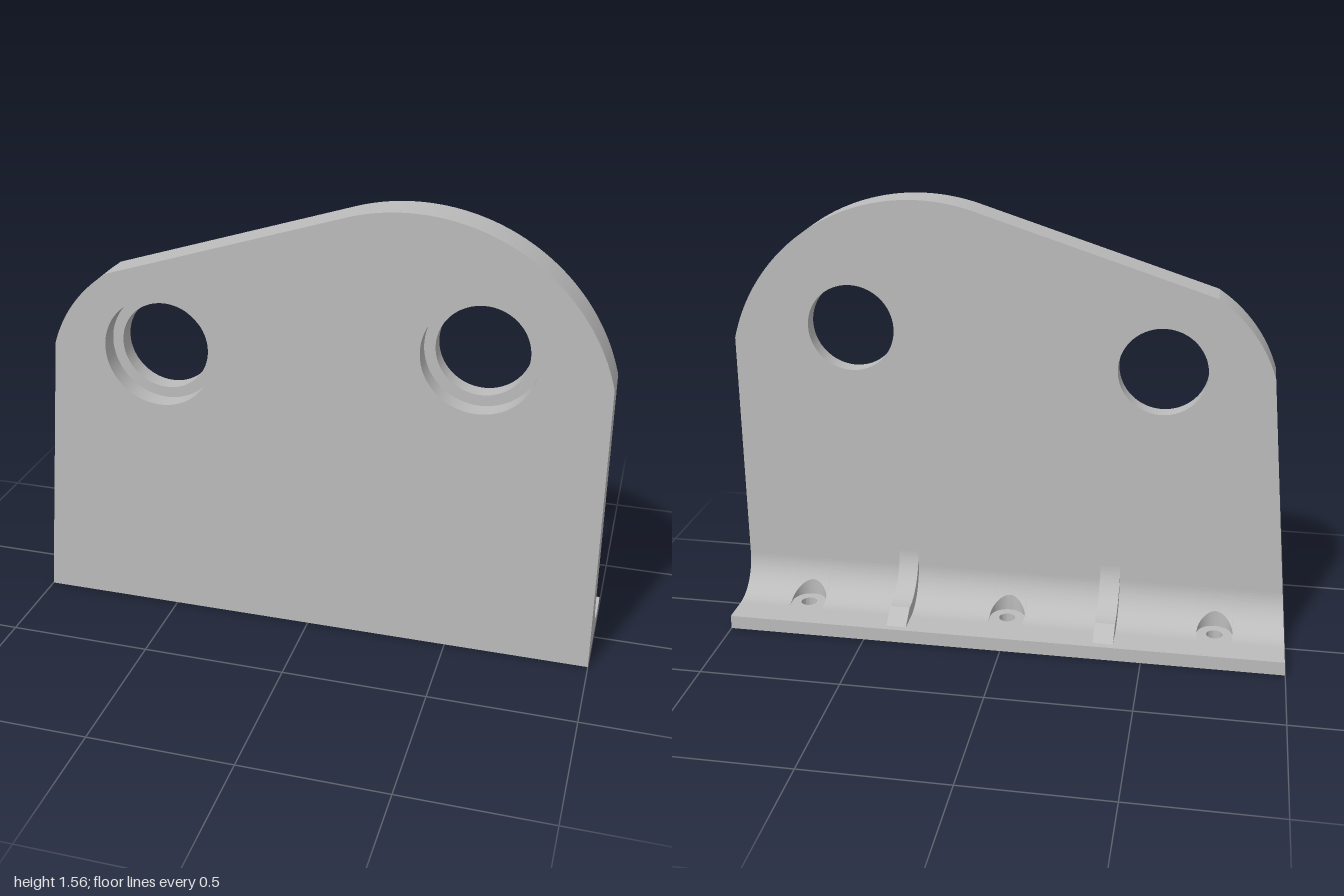
import * as THREE from 'three';
import { toCreasedNormals } from 'three/addons/utils/BufferGeometryUtils.js';

const BACK = 0.058;          // rear face of the upright plate
const FRONT = 0.188;
const FOOT = 0.05;           // foot thickness
const FILLET = 0.14;         // fillet radius
const POCKET = { r: 0.063, z: -0.03, hole: 0.029, xs: [-0.75, 0, 0.75] };

export function createModel() {
  const group = new THREE.Group();
  const metal = new THREE.MeshStandardMaterial({ color: 0xbcbcbc });
  metal.name = 'grey metal';

  function add(name, geometry) {
    const mesh = new THREE.Mesh(toCreasedNormals(geometry, 0.5), metal);
    mesh.name = name;
    group.add(mesh);
    return mesh;
  }

  function circle(x, y, r) {
    return new THREE.Path().absarc(x, y, r, 0, Math.PI * 2, true);
  }

  // The -x end follows the slanted side of the plate
  function slantEnd(geometry) {
    const p = geometry.attributes.position;
    for (let i = 0; i < p.count; i++) {
      if (p.getX(i) < -0.999) p.setX(i, -1 + 0.096 * p.getY(i));
    }
    return geometry;
  }

  // Upright plate in two layers: wide counterbores in front, narrower bores behind
  function plateLayer(name, z0, z1, r) {
    const s = new THREE.Shape();
    s.moveTo(-1, 0);
    s.lineTo(1, 0);
    s.lineTo(1, 1.04);
    s.absarc(0.335, 0.871, 0.686, Math.atan2(0.169, 0.665), Math.atan2(0.659, -0.195), false);
    s.lineTo(-0.7, 1.261);
    s.absarc(-0.428, 0.84, 0.5, Math.atan2(0.421, -0.272), Math.atan2(0.15, -0.477), false);
    s.closePath();
    s.holes.push(circle(-0.525, 0.994, r), circle(0.572, 1.097, r));
    const g = new THREE.ExtrudeGeometry(s, { depth: z1 - z0, bevelEnabled: false, curveSegments: 48 });
    add(name, g.translate(0, 0, z0));
  }
  plateLayer('plateFront', 0.12, FRONT, 0.193);
  plateLayer('plateBack', BACK, 0.12, 0.155);

  // Foot with screw holes
  const foot = new THREE.Shape();
  foot.moveTo(-1, -BACK);
  foot.lineTo(1, -BACK);
  foot.lineTo(1, FRONT);
  foot.lineTo(-1, FRONT);
  foot.closePath();
  for (const x of POCKET.xs) foot.holes.push(circle(x, -POCKET.z, POCKET.hole));
  const footGeometry = new THREE.ExtrudeGeometry(foot, { depth: FOOT, bevelEnabled: false, curveSegments: 24 });
  add('foot', slantEnd(footGeometry.rotateX(-Math.PI / 2)));

  // Profile drawn as (-z, y) and swept along x
  function sweep(name, shape, x0, x1) {
    const g = new THREE.ExtrudeGeometry(shape, { depth: x1 - x0, bevelEnabled: false, curveSegments: 20 });
    g.rotateY(Math.PI / 2).translate(x0, 0, 0);
    add(name, slantEnd(g));
  }

  // Fillet pieces between the screw pockets
  const cz = FILLET - BACK, cy = FOOT + FILLET;
  const fillet = new THREE.Shape();
  fillet.moveTo(-BACK, FOOT);
  fillet.lineTo(cz, FOOT);
  fillet.absarc(cz, cy, FILLET, -Math.PI / 2, -Math.PI, true);
  fillet.closePath();
  let start = -1;
  for (const x of [...POCKET.xs, 1 + POCKET.r]) {
    sweep('fillet', fillet, start, x - POCKET.r);
    start = x + POCKET.r;
  }

  // Fillet around each pocket: curved top, then a round wall down to the foot
  const cols = 24, rows = 12;
  for (const px of POCKET.xs) {
    const pos = [], index = [];
    for (let i = 0; i <= cols; i++) {
      const t = (i / cols) * Math.PI;
      const x = px - POCKET.r * Math.cos(t);
      const edge = POCKET.z + POCKET.r * Math.sin(t);
      for (let j = 0; j <= rows; j++) {
        const z = BACK + (edge - BACK) * (j / rows) ** 2;
        const y = cy - Math.sqrt(Math.max(0, FILLET ** 2 - (z + cz) ** 2));
        pos.push(x, y, z);
      }
      pos.push(x, FOOT, edge);
    }
    const n = rows + 2;
    for (let i = 0; i < cols; i++) {
      for (let j = 0; j < n - 1; j++) {
        const a = i * n + j, b = a + n;
        index.push(a, b, a + 1, b, b + 1, a + 1);
      }
    }
    const g = new THREE.BufferGeometry();
    g.setAttribute('position', new THREE.Float32BufferAttribute(pos, 3));
    g.setIndex(index);
    add('screwPocket', g);
  }

  // Two stiffening ribs
  const rib = new THREE.Shape();
  rib.moveTo(-BACK, FOOT);
  rib.lineTo(0.163, FOOT);
  rib.lineTo(0.097, 0.095);
  rib.absarc(0.097, 0.25, 0.155, -Math.PI / 2, -Math.PI, true);
  rib.closePath();
  for (const x of [-0.364, 0.384]) sweep('rib', rib, x - 0.036, x + 0.036);

  return group;
}
